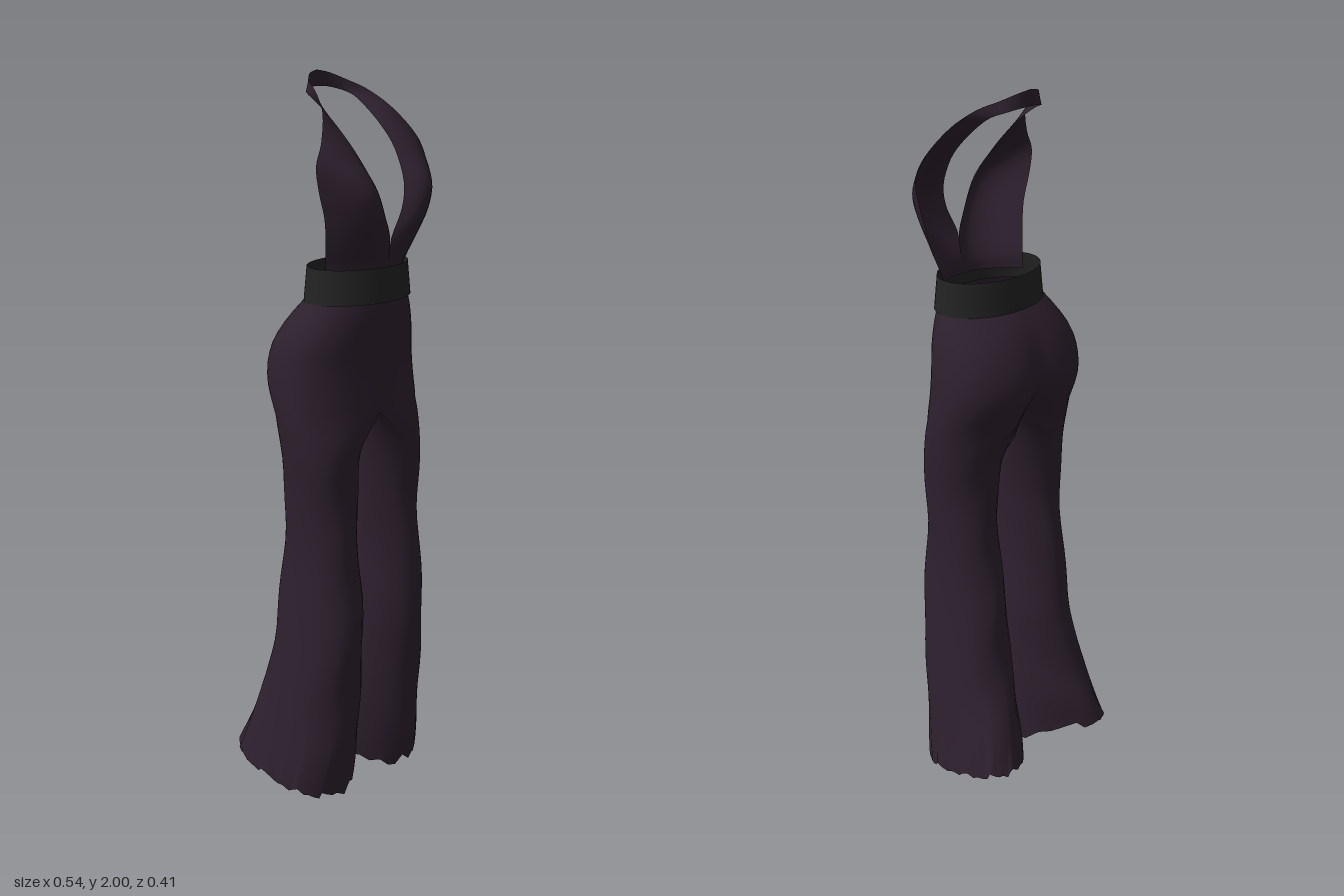
import * as THREE from 'three';

const OUTER = 28, INNER = 16, RING = OUTER + INNER;
const CROTCH = 1.1;
const CENTRE = 0.012; // the bodice sits slightly off the middle
const WAIST = 0.009; // so does the waist

// Trouser half sections: y, inner x, outer x, front z, back z, roundness, centre crease
const SECTIONS = [
  [0.00, 0.000, 0.262, 0.132, -0.200, 1, 0],
  [0.12, 0.003, 0.248, 0.152, -0.178, 1, 0],
  [0.25, 0.010, 0.235, 0.163, -0.145, 1, 0],
  [0.40, 0.020, 0.224, 0.174, -0.110, 1, 0],
  [0.55, 0.031, 0.214, 0.180, -0.090, 1, 0],
  [0.70, 0.037, 0.208, 0.165, -0.070, 1, 0],
  [0.80, 0.035, 0.212, 0.155, -0.055, 1, 0],
  [0.90, 0.030, 0.218, 0.155, -0.055, 1, 0],
  [1.00, 0.022, 0.229, 0.157, -0.065, 0.85, 0.01],
  [1.05, 0.016, 0.233, 0.161, -0.082, 0.5, 0.035],
  [1.10, 0.000, 0.236, 0.164, -0.104, 0, 0.05],
  [1.19, 0.000, 0.235, 0.158, -0.140, 0, 0.03],
  [1.25, 0.000, 0.231, 0.155, -0.139, 0, 0.02],
  [1.32, 0.000, 0.217, 0.160, -0.115, 0, 0.010],
  [1.38, 0.000, 0.189, 0.166, -0.079, 0, 0],
  [1.43, 0.000, 0.156, 0.164, -0.036, 0, 0],
];

// Halter rows: inner edge xyz, outer edge xyz, forward bulge
const HALTER = [
  [0.000, 1.460, 0.160, 0.150, 1.460, 0.076, 0.028],
  [0.000, 1.500, 0.162, 0.153, 1.500, 0.078, 0.030],
  [0.002, 1.575, 0.172, 0.170, 1.570, 0.095, 0.050],
  [0.037, 1.650, 0.178, 0.186, 1.640, 0.105, 0.064],
  [0.060, 1.720, 0.165, 0.207, 1.710, 0.105, 0.064],
  [0.078, 1.800, 0.118, 0.217, 1.775, 0.105, 0.036],
  [0.083, 1.855, 0.068, 0.190, 1.830, 0.098, 0.020],
  [0.083, 1.900, 0.016, 0.140, 1.900, 0.058, 0.008],
  [0.083, 1.931, -0.030, 0.102, 1.948, 0.002, 0],
  [0.068, 1.946, -0.065, 0.072, 1.974, -0.050, 0],
  [0.035, 1.955, -0.085, 0.038, 1.992, -0.080, 0],
  [0.000, 1.957, -0.090, 0.000, 2.000, -0.090, 0],
];

// Smooth sampler through a table of rows
function sampler(times, rows) {
  const size = rows[0].length;
  const spline = new THREE.CubicInterpolant(times, rows.flat(), size, new Array(size));
  return (t) => [...spline.evaluate(t)];
}

function makeGeometry(positions, index, side) {
  const geo = new THREE.BufferGeometry();
  geo.setAttribute('position', new THREE.Float32BufferAttribute(positions, 3));
  if (side < 0) index.reverse();
  geo.setIndex(index);
  geo.computeVertexNormals();
  return geo;
}

const { lerp, clamp, smoothstep } = THREE.MathUtils;
const power = (v, p) => Math.sign(v) * Math.abs(v) ** p;

// One half of the trousers: hip shell above the crotch, closed leg tube below
function trouserHalf(side) {
  const at = sampler(SECTIONS.map((s) => s[0]), SECTIONS.map((s) => s.slice(1)));
  const levels = [];
  for (let i = 0; i <= 28; i++) levels.push((CROTCH * i) / 28);
  for (let i = 1; i <= 12; i++) levels.push(CROTCH + (0.33 * i) / 12);
  const pos = [], index = [];
  levels.forEach((y, row) => {
    const [xi, xo, zf, zb, round, crease] = at(y);
    const hip = y >= CROTCH - 1e-6;
    const k = hip ? 0 : clamp(round, 0, 1);
    const inX = hip ? 0 : Math.max(0.001, xi);
    const zc = (zf + zb) / 2, hz = (zf - zb) / 2, cx = (inX + xo) / 2, hx = (xo - inX) / 2;
    const flare = Math.max(0, 1 - y / 0.45), hem = Math.max(0, 1 - y / 0.3);
    const waist = smoothstep(y, 1.28, 1.42);
    const hipPower = lerp(0.88, 1, waist);
    for (let j = 0; j < RING; j++) {
      const outer = j <= OUTER;
      const a = outer ? (Math.PI * j) / OUTER : Math.PI * (1 + (j - OUTER) / INNER);
      // legs are squarer on the outside front and rounder between the knees
      const legPower = !outer ? 1.12 : j < OUTER / 2 ? 0.82 : 0.9;
      const p = lerp(hipPower, legPower, k);
      const s = power(Math.sin(a), p), c = power(Math.cos(a), p);
      const back = Math.max(0, -c);
      // half-moon section at the hips blending into an oval leg, pointed behind at the hem
      const oval = cx + hx * s * (1 - 0.25 * flare * back) + 0.05 * flare * back;
      const x = lerp(outer ? inX + (xo - inX) * s : inX, oval, k);
      let z = zc + hz * c;
      const dent = crease * Math.exp(-((x / 0.04) ** 2));
      z += c < 0 ? dent * back : -dent * c * 0.3 * smoothstep(1.25 - y, 0, 0.1);
      // ragged hem that rises to the back
      const rag = Math.sin(j * 2.3 + side) + Math.sin(j * 1.1 + 2 * side);
      const lift = (0.14 - z) * 0.24 + 0.012 + 0.007 * rag * hem;
      // soft cloth folds
      z += 0.003 * k * Math.sin(y * 22 + x * 30 + side);
      pos.push(side * (x + 0.003 * rag * hem * hem) + WAIST * waist, y + hem * lift, z);
      const isInner = !outer || j === OUTER;
      if (row < levels.length - 1 && !(isInner && hip)) {
        const v = row * RING + j, w = row * RING + ((j + 1) % RING);
        index.push(v, w, w + RING, v, w + RING, v + RING);
      }
    }
  });
  const geo = makeGeometry(pos, index, side);
  // let the two halves shade as one surface along the centre seam
  const n = geo.attributes.normal, v = new THREE.Vector3();
  levels.forEach((y, row) => {
    if (y < CROTCH + 0.01) return;
    for (const j of [0, OUTER]) {
      v.fromBufferAttribute(n, row * RING + j).setX(0).normalize();
      n.setXYZ(row * RING + j, v.x, v.y, v.z);
    }
  });
  return geo;
}

// One bodice panel narrowing into the strap behind the neck
function halterPanel(side) {
  const at = sampler(HALTER.map((_, i) => i), HALTER);
  const rows = 44, cols = 10, pos = [], index = [];
  for (let i = 0; i <= rows; i++) {
    const [ix, iy, iz, ox, oy, oz, bulge] = at(((HALTER.length - 1) * i) / rows);
    for (let j = 0; j <= cols; j++) {
      const s = j / cols;
      const x = Math.max(0, lerp(ix, ox, s));
      pos.push(CENTRE + side * x, lerp(iy, oy, s), lerp(iz, oz, s) + bulge * 4 * s * (1 - s));
      if (i < rows && j < cols) {
        const p = i * (cols + 1) + j, q = p + cols + 1;
        index.push(p, p + 1, q + 1, p, q + 1, q);
      }
    }
  }
  return makeGeometry(pos, index, side);
}

export function createModel() {
  const cloth = new THREE.MeshStandardMaterial({ color: 0x2d202d, side: THREE.DoubleSide });
  cloth.name = 'dark plum cloth';
  const band = new THREE.MeshStandardMaterial({ color: 0x222322, side: THREE.DoubleSide });
  band.name = 'charcoal band';

  const model = new THREE.Group();
  model.name = 'halterJumpsuit';
  const add = (name, geo, mat) => {
    const mesh = new THREE.Mesh(geo, mat);
    mesh.name = name;
    model.add(mesh);
    return mesh;
  };

  for (const [label, side] of [['left', 1], ['right', -1]]) {
    add(label + 'TrouserHalf', trouserHalf(side), cloth);
    add(label + 'HalterPanel', halterPanel(side), cloth);
  }

  // Waistband
  const waist = add('waistband', new THREE.CylinderGeometry(0.163, 0.173, 0.093, 56, 2, true), band);
  waist.scale.z = 0.68;
  waist.position.set(WAIST, 1.4545, 0.06);

  return model;
}
